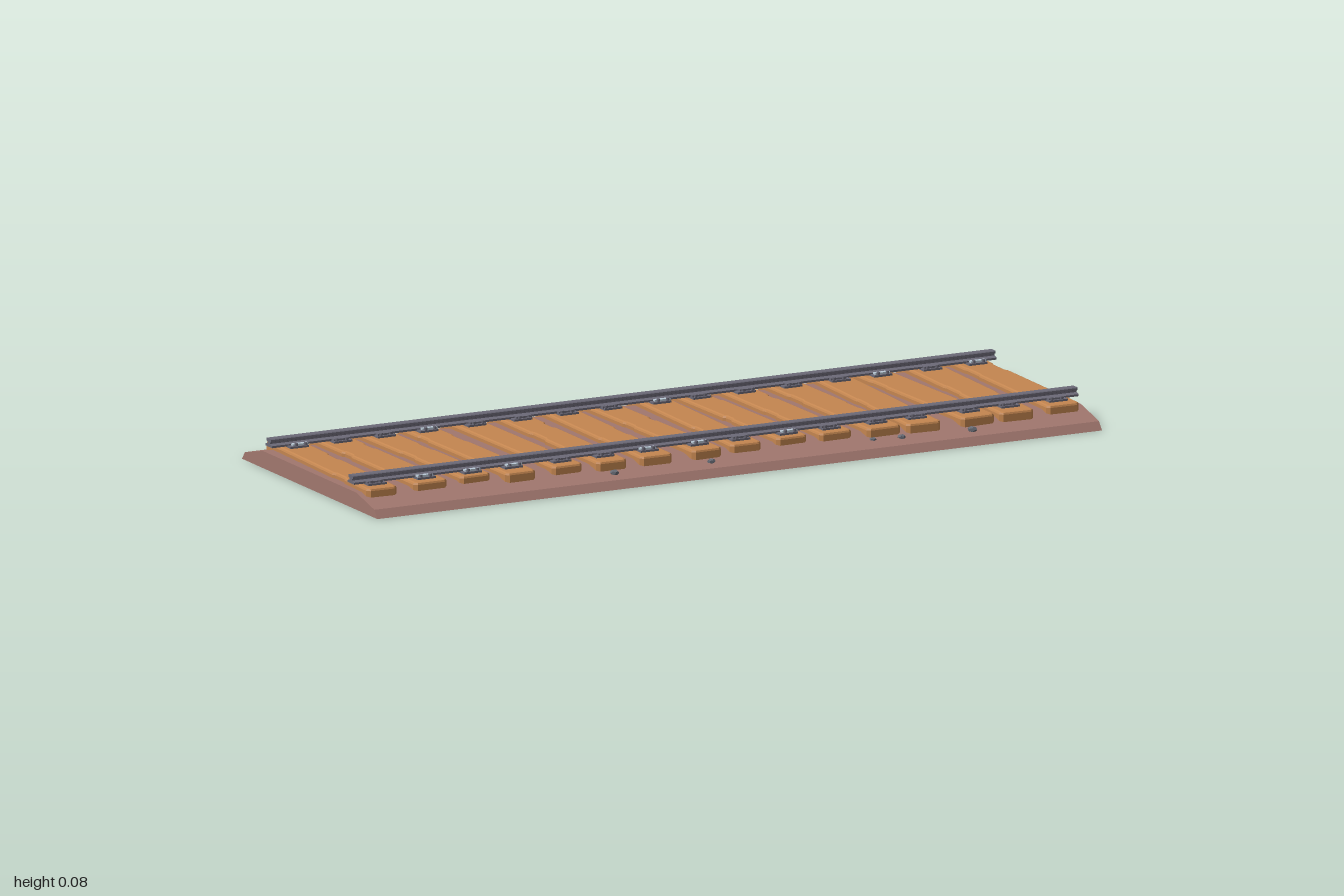
import * as THREE from 'three';

const material = (name, color, extra = {}) => {
  const m = new THREE.MeshStandardMaterial({ color });
  m.name = name;
  return Object.assign(m, extra);
};

// Small seeded generator for worn edges and stones
function seeded(seed) {
  return () => (seed = (seed * 16807) % 2147483647) / 2147483647;
}

// Extrude a (z, y) profile along the length of the track
function alongX(points, length) {
  const shape = new THREE.Shape(points.map(([z, y]) => new THREE.Vector2(z, y)));
  const geo = new THREE.ExtrudeGeometry(shape, { depth: length, bevelEnabled: false });
  geo.translate(0, 0, -length / 2);
  geo.rotateY(Math.PI / 2);
  return geo;
}

// Mirror a half profile, listed from bottom to top
const mirrored = half => [...half, ...half.slice().reverse().map(([z, y]) => [-z, y])];

// Bevelled plank with a few chips along its long edges
function sleeperGeometry(width, length, height, rand) {
  const bevel = 0.006, w = width / 2 - bevel, l = length / 2 - bevel;
  const c = 0.005, points = [];
  const edge = dir => {
    points.push([dir * (w - c), -dir * l], [dir * w, -dir * (l - c)]);
    const at = (rand() - 0.5) * l * 1.2, size = 0.02 + rand() * 0.03, deep = 0.003 + rand() * 0.003;
    points.push([dir * w, dir * (at - size)], [dir * (w - deep), dir * (at - size * 0.7)],
      [dir * (w - deep), dir * (at + size * 0.7)], [dir * w, dir * (at + size)]);
    points.push([dir * w, dir * (l - c)], [dir * (w - c), dir * l]);
  };
  edge(1);
  edge(-1);
  const shape = new THREE.Shape(points.map(p => new THREE.Vector2(...p)));
  const geo = new THREE.ExtrudeGeometry(shape, {
    depth: height - 2 * bevel, bevelEnabled: true, bevelSize: bevel, bevelThickness: bevel, bevelSegments: 2
  });
  geo.translate(0, 0, bevel);
  geo.rotateX(-Math.PI / 2);
  return geo;
}

export function createModel() {
  const track = new THREE.Group();
  track.name = 'railwayTrack';
  const rand = seeded(4711);

  const earth = material('earth', 0xa1776e);
  const wood = material('wood', 0xc48650);
  const steel = material('railSteel', 0x6c6a78);
  const clipSteel = material('clipSteel', 0xb9c9d6);
  const stoneGrey = material('stone', 0x666a74, { flatShading: true });

  const add = (parent, name, geo, mat, x = 0, y = 0, z = 0) => {
    const mesh = new THREE.Mesh(geo, mat);
    mesh.name = name;
    mesh.position.set(x, y, z);
    parent.add(mesh);
    return mesh;
  };

  // Embankment
  add(track, 'embankment', alongX(mirrored([
    [0.357, 0], [0.341, 0.02], [0.3, 0.03], [0.245, 0.043]
  ]), 2), earth);

  // Rails with foot, web and head
  const railZ = 0.216;
  const railGeo = alongX(mirrored([
    [0.018, 0.06], [0.018, 0.065], [0.006, 0.068], [0.006, 0.072],
    [0.012, 0.074], [0.012, 0.079], [0.01, 0.081]
  ]), 2);
  for (const side of [1, -1]) add(track, side > 0 ? 'frontRail' : 'backRail', railGeo, steel, 0, 0, side * railZ);

  // Sleepers: x at the back, x at the front, back end, front end
  const sleepers = [
    [-0.93, -0.945, 0.29, 0.28], [-0.813, -0.808, 0.28, 0.275], [-0.695, -0.68, 0.29, 0.267], [-0.577, -0.567, 0.275, 0.29],
    [-0.445, -0.433, 0.3, 0.28], [-0.316, -0.316, 0.3, 0.29], [-0.187, -0.193, 0.285, 0.29], [-0.07, -0.053, 0.3, 0.29],
    [0.07, 0.059, 0.3, 0.28], [0.176, 0.192, 0.29, 0.27], [0.299, 0.31, 0.29, 0.275], [0.428, 0.438, 0.285, 0.285],
    [0.567, 0.545, 0.29, 0.29], [0.674, 0.695, 0.285, 0.29], [0.818, 0.802, 0.3, 0.29], [0.941, 0.935, 0.3, 0.28]
  ];
  const plateGeo = new THREE.BoxGeometry(0.05, 0.006, 0.072);
  const clipGeo = new THREE.BoxGeometry(0.042, 0.006, 0.012);
  const boltGeo = new THREE.CylinderGeometry(0.0045, 0.0045, 0.008, 6);

  sleepers.forEach(([xBack, xFront, back, front], i) => {
    const unit = new THREE.Group();
    unit.name = 'sleeperUnit' + (i + 1);
    unit.position.x = (xBack + xFront) / 2;
    unit.rotation.y = Math.atan2(xFront - xBack, back + front);
    track.add(unit);
    const width = 0.082 + rand() * 0.012;
    add(unit, 'sleeper', sleeperGeometry(width, back + front, 0.031, rand), wood, 0, 0.026, (front - back) / 2);

    // Base plates, clips and bolts under both rails
    for (const side of [1, -1]) {
      const fastening = new THREE.Group();
      fastening.name = 'railFastening';
      fastening.position.z = side * railZ;
      unit.add(fastening);
      add(fastening, 'basePlate', plateGeo, steel, 0, 0.059, 0);
      const bright = rand() < 0.6 ? -1 : 1;
      for (const s of [1, -1]) {
        const shift = s * (rand() - 0.5) * 0.012;
        add(fastening, 'railClip', clipGeo, s === bright ? clipSteel : steel, shift, 0.0635, s * 0.024);
        for (const b of [-1, 1]) add(fastening, 'bolt', boltGeo, steel, shift + b * 0.013, 0.0645, s * 0.03);
      }
    }
  });

  // Loose stones on the shoulders
  const stoneGeo = new THREE.DodecahedronGeometry(0.013, 0);
  const stones = [
    [-0.64, -0.305, 1.15], [-0.32, 0.308, 0.9], [-0.055, 0.312, 0.8], [0.4, 0.295, 0.7],
    [0.475, 0.303, 0.8], [0.665, 0.313, 0.95]
  ];
  for (const [x, z, size] of stones) {
    const stone = add(track, 'stone', stoneGeo, stoneGrey, x, 0.031, z);
    stone.rotation.y = rand() * 6;
    stone.scale.set(size, size * 0.65, size);
  }
  return track;
}
